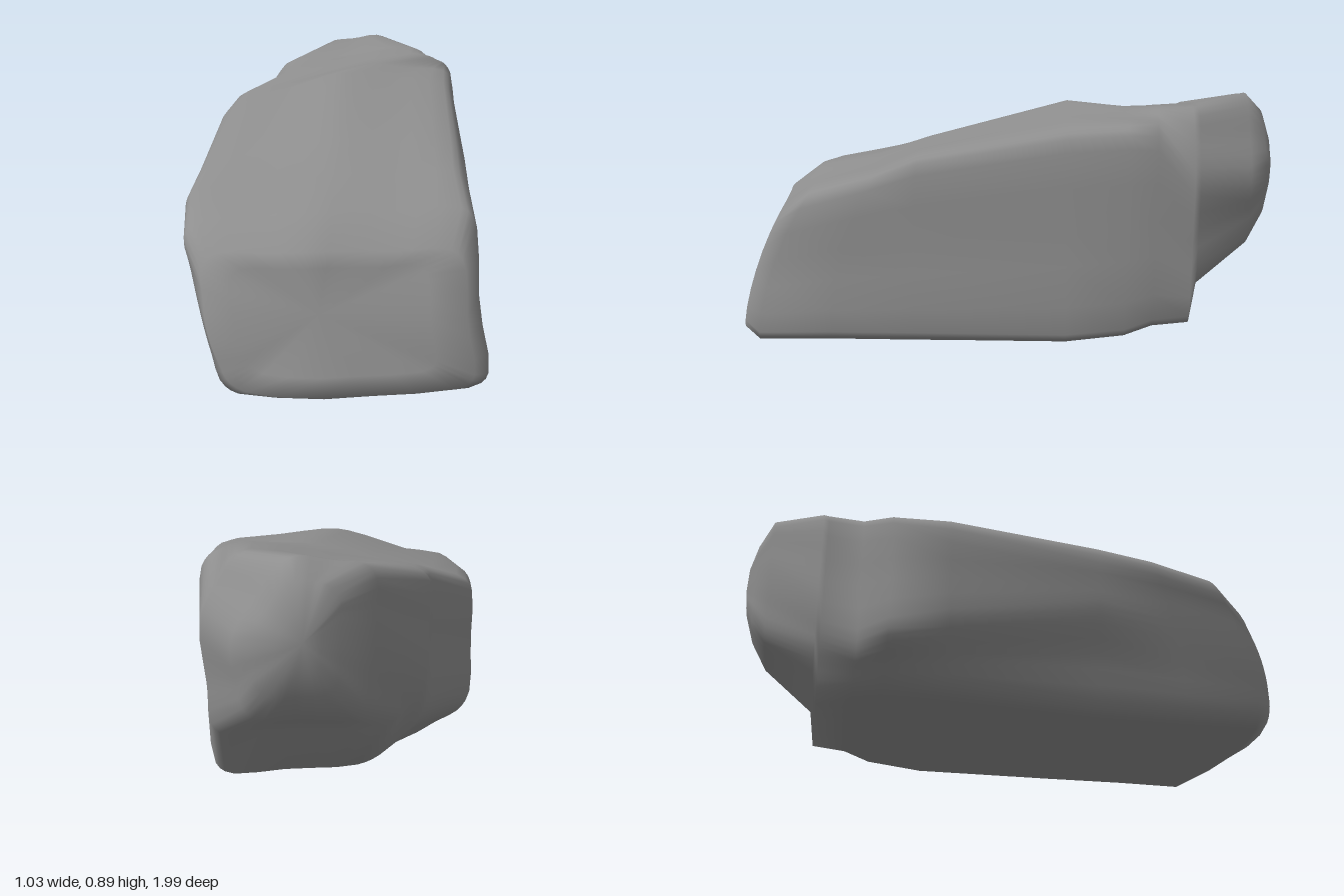
import * as THREE from 'three';

// Cross-sections from front to back:
// z, bottom left x y, bottom right x y, top right x y, top ridge x y, top left x y, left flank x y
const SECTIONS = [
  [1.0, -0.32, 0.04, 0.46, 0.04, 0.42, 0.46, 0, 0.48, -0.43, 0.45, -0.40, 0.22],
  [0.94, -0.35, 0, 0.51, 0.01, 0.46, 0.56, 0, 0.57, -0.50, 0.52, -0.44, 0.28],
  [0.65, -0.34, 0, 0.51, 0.02, 0.46, 0.63, 0, 0.62, -0.53, 0.56, -0.46, 0.32],
  [0.30, -0.33, 0.01, 0.51, 0.02, 0.46, 0.69, 0, 0.69, -0.50, 0.61, -0.46, 0.35],
  [-0.25, -0.30, 0.05, 0.50, 0.02, 0.47, 0.78, 0.02, 0.85, -0.48, 0.67, -0.46, 0.26],
  [-0.46, -0.21, 0.10, 0.48, 0.04, 0.49, 0.80, 0.14, 0.84, -0.45, 0.69, -0.44, 0.22],
  [-0.56, -0.14, 0.11, 0.46, 0.07, 0.50, 0.80, 0.36, 0.87, -0.29, 0.76, -0.29, 0.23],
  [-0.69, -0.06, 0.11, 0.45, 0.08, 0.50, 0.64, 0.36, 0.87, -0.27, 0.78, -0.25, 0.27],
  [-0.71, -0.14, 0.25, 0.46, 0.23, 0.50, 0.63, 0.35, 0.87, -0.26, 0.79, -0.25, 0.42],
  [-0.90, -0.03, 0.35, 0.35, 0.36, 0.40, 0.62, 0.22, 0.90, -0.07, 0.85, -0.06, 0.60],
  [-0.96, 0.06, 0.46, 0.30, 0.45, 0.34, 0.64, 0.21, 0.84, 0.05, 0.80, 0.05, 0.65],
];
const RING = 48;

// Rounded outline: two points beside every corner plus the middle of each edge
function outline(s) {
  const corners = [];
  for (let i = 1; i < s.length; i += 2) corners.push(new THREE.Vector2(s[i], s[i + 1]));
  const pts = [];
  corners.forEach((a, i) => {
    const b = corners[(i + 1) % corners.length];
    const t = Math.min(0.04 / a.distanceTo(b), 0.3);
    for (const k of [t, 0.5, 1 - t]) {
      pts.push(new THREE.Vector3(a.x + (b.x - a.x) * k, a.y + (b.y - a.y) * k, 0));
    }
  });
  const curve = new THREE.CatmullRomCurve3(pts, true);
  return Array.from({ length: RING }, (_, i) => curve.getPoint(i / RING));
}

// Lean the front face back and turn it slightly; add shallow dents
function weather(p, z) {
  const lean = THREE.MathUtils.smoothstep(z, 0.2, 0.95);
  const dent = 0.006 * Math.sin(9 * p.x + 7 * z) * Math.sin(11 * p.y + 5 * z);
  p.z = z - lean * (0.65 * p.y * p.y + 0.15 * Math.abs(p.x + 0.08));
  p.x += dent;
  p.y = Math.max(0, p.y + dent);
  return p;
}

function rockGeometry() {
  const pos = [], index = [];
  const rings = SECTIONS.map((s) => outline(s).map((p) => weather(p, s[0])));
  rings.forEach((ring) => ring.forEach((p) => pos.push(p.x, p.y, p.z)));
  // Skin between neighbouring sections
  for (let r = 0; r < rings.length - 1; r++) {
    for (let i = 0; i < RING; i++) {
      const a = r * RING + i, b = r * RING + (i + 1) % RING;
      index.push(a, a + RING, b, b, a + RING, b + RING);
    }
  }
  // Closed ends, each with a smaller inner ring and a centre point
  for (const [r, bulge, inset] of [[0, 0.01, 0.25], [rings.length - 1, -0.03, 0.5]]) {
    const c = rings[r].reduce((sum, p) => sum.add(p), new THREE.Vector3()).divideScalar(RING);
    const inner = pos.length / 3;
    rings[r].forEach((p) => {
      const q = p.clone().lerp(c, inset);
      pos.push(q.x, q.y, q.z + bulge);
    });
    const centre = pos.length / 3;
    pos.push(c.x, c.y, c.z + bulge * 1.3);
    for (let i = 0; i < RING; i++) {
      const j = (i + 1) % RING;
      const a = r * RING + i, b = r * RING + j, ia = inner + i, ib = inner + j;
      if (r === 0) index.push(a, b, ib, a, ib, ia, ia, ib, centre);
      else index.push(b, a, ia, b, ia, ib, ib, ia, centre);
    }
  }
  const g = new THREE.BufferGeometry();
  g.setAttribute('position', new THREE.Float32BufferAttribute(pos, 3));
  g.setIndex(index);
  g.computeVertexNormals();
  return g;
}

export function createModel() {
  const group = new THREE.Group();
  group.name = 'rock';
  const stone = new THREE.MeshStandardMaterial({ color: 0x8e8e8e });
  stone.name = 'stone grey';
  const boulder = new THREE.Mesh(rockGeometry(), stone);
  boulder.name = 'boulder';
  group.add(boulder);
  return group;
}
